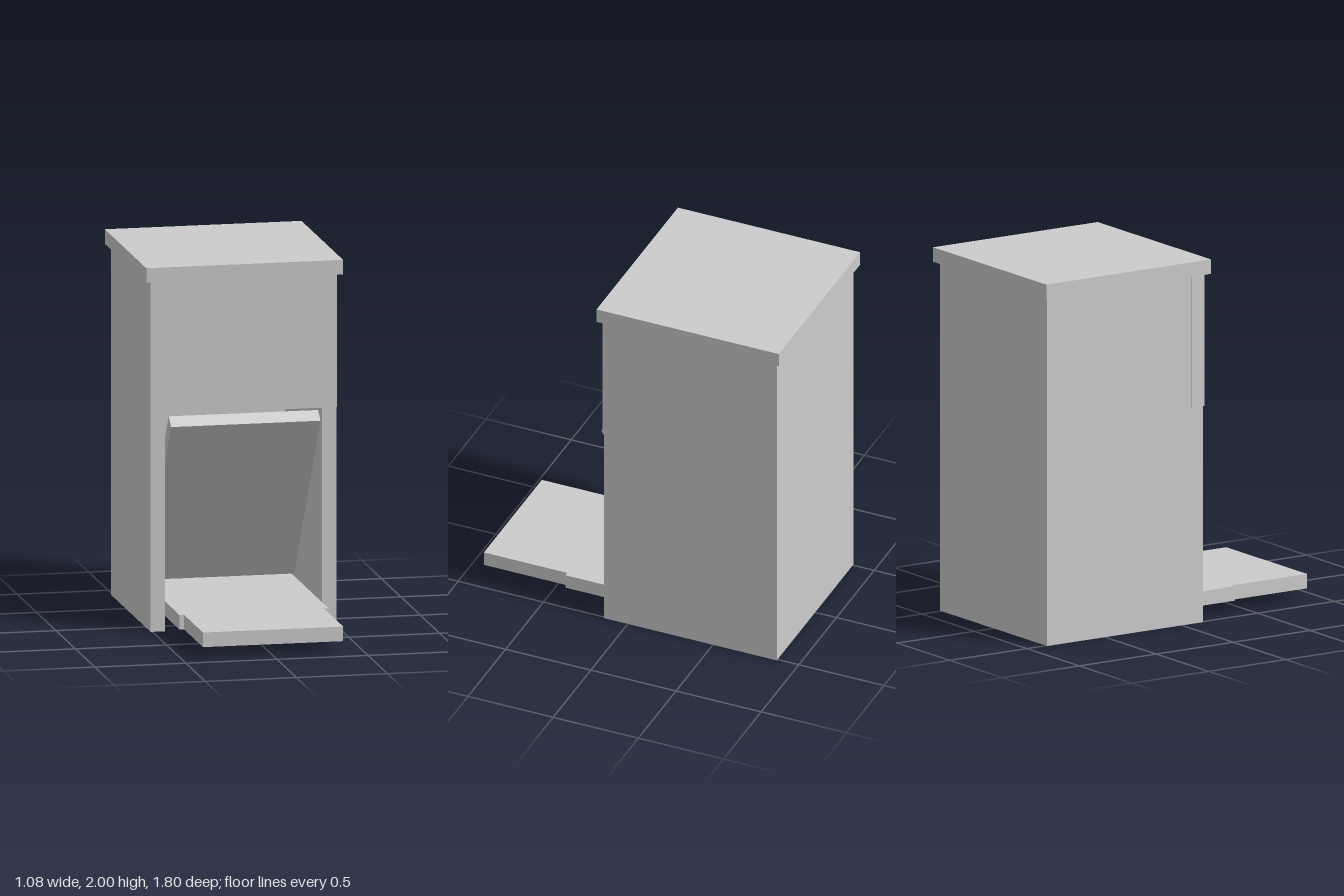
import * as THREE from 'three';

const material = new THREE.MeshStandardMaterial({ color: 0xcccccc, flatShading: true });

// Box given by its extents on each axis
function board(name, [x0, x1], [y0, y1], [z0, z1]) {
  const mesh = new THREE.Mesh(new THREE.BoxGeometry(x1 - x0, y1 - y0, z1 - z0), material);
  mesh.position.set((x0 + x1) / 2, (y0 + y1) / 2, (z0 + z1) / 2);
  mesh.name = name;
  return mesh;
}

export function createModel() {
  const group = new THREE.Group();
  group.name = 'feederBox';

  // Cabinet: back, two sides, upper front panel and overhanging lid
  group.add(
    board('backPanel', [-0.51, 0.51], [0, 1.92], [-0.875, -0.795]),
    board('leftSide', [0.43, 0.51], [0, 1.92], [-0.795, 0.14]),
    board('rightSide', [-0.51, -0.43], [0, 1.92], [-0.795, 0.14]),
    board('frontPanel', [-0.512, 0.512], [1.19, 1.915], [0.065, 0.147]),
    board('lid', [-0.54, 0.54], [1.92, 2], [-0.9, 0.17])
  );

  // Floor tray, stepping narrower toward the front
  const outline = [[-0.41, -0.78], [0.41, -0.78], [0.41, 0.41], [0.385, 0.41],
    [0.385, 0.9], [-0.385, 0.9], [-0.385, 0.41], [-0.41, 0.41]];
  const trayShape = new THREE.Shape(outline.map(([x, z]) => new THREE.Vector2(x, z)));
  const trayGeometry = new THREE.ExtrudeGeometry(trayShape, { depth: 0.08, bevelEnabled: false });
  trayGeometry.rotateX(Math.PI / 2);
  const tray = new THREE.Mesh(trayGeometry, material);
  tray.position.y = 0.143;
  tray.name = 'floorTray';
  group.add(tray);

  // Sloping ramp, hung from its upper front edge and leaning back into the cabinet
  const length = 1.188, thickness = 0.08;
  const rampGeometry = new THREE.BoxGeometry(0.82, length, thickness);
  rampGeometry.translate(0, -length / 2, -thickness / 2);
  const ramp = new THREE.Mesh(rampGeometry, material);
  ramp.position.set(0, 1.13, 0.2);
  ramp.rotation.x = THREE.MathUtils.degToRad(35);
  ramp.name = 'feedRamp';
  group.add(ramp);

  return group;
}
